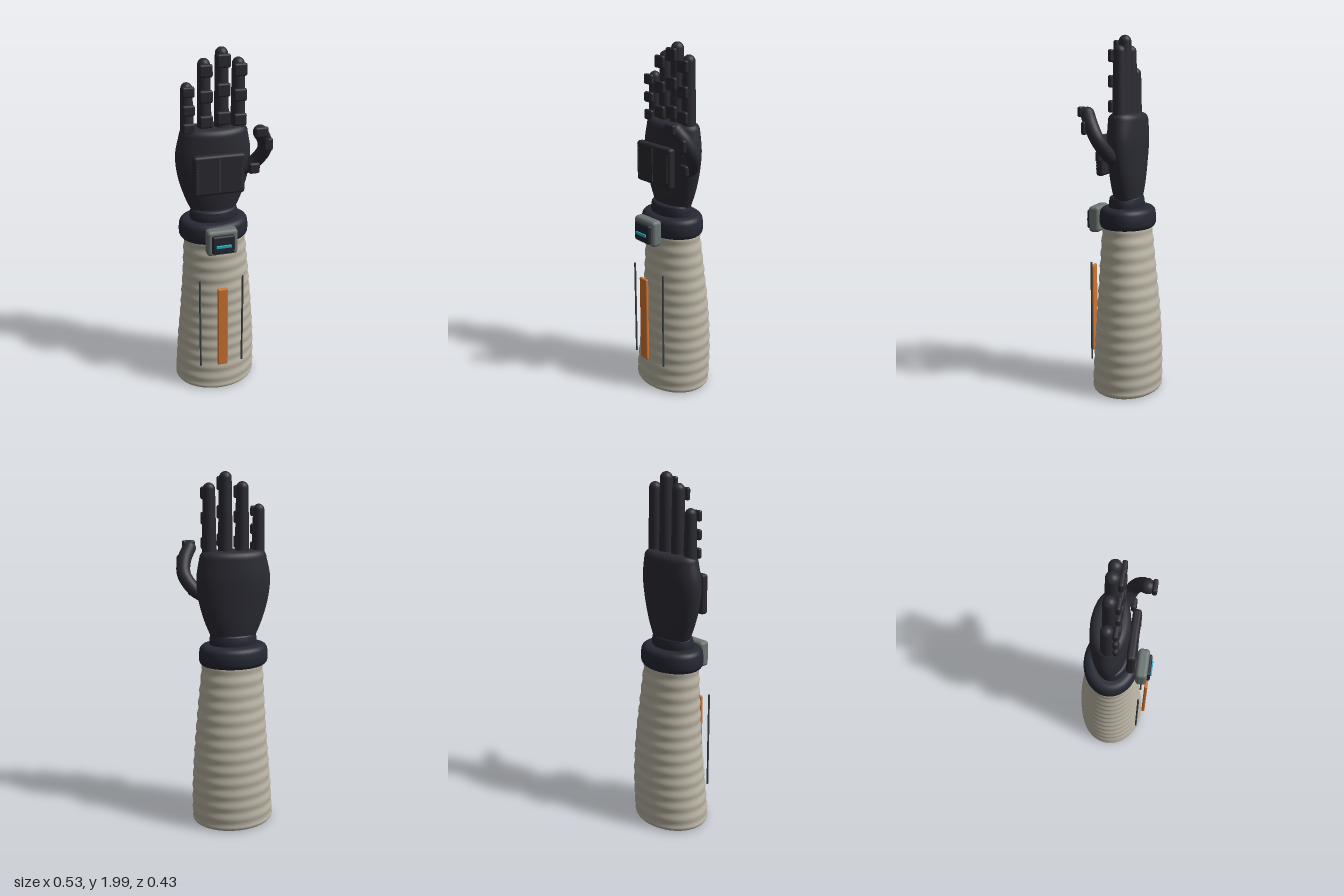
import * as THREE from 'three';
import { RoundedBoxGeometry } from 'three/addons/geometries/RoundedBoxGeometry.js';

const material = (name, color) => {
  const m = new THREE.MeshStandardMaterial({ color });
  m.name = name;
  return m;
};

// Elliptical loft through rings [y, xMin, xMax, zMin, zMax] with rounded, closed ends
function loft(keys, round, steps = 24, ripple = () => 0, segments = 56) {
  const sample = (col, t) => {
    const f = t * (keys.length - 1), i = Math.min(Math.floor(f), keys.length - 2), u = f - i;
    const p = (k) => keys[Math.max(0, Math.min(keys.length - 1, k))][col];
    const m0 = (p(i + 1) - p(i - 1)) / 2, m1 = (p(i + 2) - p(i)) / 2;
    const a = p(i), b = p(i + 1);
    return a + m0 * u + (3 * (b - a) - 2 * m0 - m1) * u * u + (2 * (a - b) + m0 + m1) * u * u * u;
  };
  const ringAt = (t) => {
    const [y, x0, x1, z0, z1] = [0, 1, 2, 3, 4].map((c) => sample(c, t));
    const r = ripple(y);
    return [y, (x0 + x1) / 2, (z0 + z1) / 2, (x1 - x0) / 2 + r, (z1 - z0) / 2 + r];
  };
  const rings = [];
  const edge = (end, dir, k) => {
    const a = k * Math.PI / 12, inset = round * (1 - Math.cos(a));
    return [end[0] + dir * round * Math.sin(a), end[1], end[2], end[3] - inset, end[4] - inset];
  };
  const shrink = (r, s) => [r[0], r[1], r[2], r[3] * s, r[4] * s];
  const first = ringAt(0), last = ringAt(1);
  rings.push(shrink(edge(first, -1, 6), 0), shrink(edge(first, -1, 6), 0.97));
  for (let k = 6; k > 0; k--) rings.push(edge(first, -1, k));
  for (let i = 0; i <= steps; i++) rings.push(ringAt(i / steps));
  for (let k = 1; k <= 6; k++) rings.push(edge(last, 1, k));
  rings.push(shrink(edge(last, 1, 6), 0.97), shrink(edge(last, 1, 6), 0));

  const pos = [], index = [];
  rings.forEach(([y, cx, cz, rx, rz], j) => {
    for (let i = 0; i < segments; i++) {
      const a = i / segments * Math.PI * 2;
      pos.push(cx + rx * Math.cos(a), y, cz + rz * Math.sin(a));
      if (j === rings.length - 1) continue;
      const p = j * segments + i, q = j * segments + (i + 1) % segments;
      index.push(p, p + segments, q, q, p + segments, q + segments);
    }
  });
  const g = new THREE.BufferGeometry();
  g.setAttribute('position', new THREE.Float32BufferAttribute(pos, 3));
  g.setIndex(index);
  g.computeVertexNormals();
  return g;
}

export function createModel() {
  const model = new THREE.Group();
  model.name = 'gloveArm';
  const fabric = material('sleeve fabric', 0xbab4a4);
  const glove = material('glove charcoal', 0x2b2b34);
  const cuff = material('cuff navy', 0x262833);
  const rubber = material('pad rubber', 0x292930);
  const metal = material('grey casing', 0x6c7573);
  const seam = material('seam grey', 0x3f4648);
  const orange = material('orange stripe', 0xd27430);
  const cyan = material('cyan light', 0x1fafc4);

  const add = (name, geometry, mat, x = 0, y = 0, z = 0, parent = model) => {
    const mesh = new THREE.Mesh(geometry, mat);
    mesh.name = name;
    mesh.position.set(x, y, z);
    parent.add(mesh);
    return mesh;
  };
  const box = (name, mat, w, h, d, r, x, y, z, parent) =>
    add(name, new RoundedBoxGeometry(w, h, d, 3, r), mat, x, y, z, parent);
  const rod = (name, mat, r, y0, y1, x, z) =>
    add(name, new THREE.CylinderGeometry(r, r, y1 - y0, 10), mat, x, (y0 + y1) / 2, z);

  // Gently ribbed sleeve
  add('sleeve', loft([
    [0.035, -0.266, 0.206, -0.215, 0.178],
    [0.26, -0.248, 0.206, -0.216, 0.163],
    [0.49, -0.226, 0.192, -0.203, 0.147],
    [0.72, -0.211, 0.17, -0.178, 0.133],
    [0.95, -0.2, 0.146, -0.152, 0.12],
  ], 0.025, 130, (y) => 0.0025 * Math.sin(y * Math.PI * 2 / 0.072)), fabric);

  // Cuff, wrist and palm
  add('cuff', loft([
    [0.985, -0.227, 0.161, -0.171, 0.137],
    [1.01, -0.228, 0.162, -0.172, 0.138],
    [1.035, -0.225, 0.159, -0.169, 0.135],
  ], 0.035, 6), cuff);
  add('wrist', loft([
    [1.05, -0.165, 0.1, -0.105, 0.083],
    [1.09, -0.167, 0.102, -0.107, 0.085],
    [1.115, -0.163, 0.098, -0.103, 0.081],
  ], 0.015, 6), cuff);
  add('palm', loft([
    [1.1, -0.15, 0.088, -0.092, 0.05],
    [1.2, -0.193, 0.13, -0.106, 0.066],
    [1.32, -0.228, 0.163, -0.114, 0.077],
    [1.44, -0.238, 0.174, -0.121, 0.082],
    [1.55, -0.215, 0.157, -0.119, 0.078],
  ], 0.038, 40), glove);

  // Palm plate with its seams
  box('palmPlate', rubber, 0.278, 0.222, 0.045, 0.016, -0.032, 1.36, 0.1);
  rod('plateSeam', seam, 0.003, 1.265, 1.455, -0.033, 0.1225);
  for (const x of [-0.15, 0.088])
    for (let i = 0; i < 10; i++)
      rod('plateStitch', seam, 0.003, 1.283 + i * 0.016, 1.292 + i * 0.016, x, 0.1225);

  // Fingers: [x, tip height, radius], each with three grip pads
  const fingers = [[-0.172, 1.83, 0.037], [-0.08, 1.948, 0.04], [0.013, 2, 0.041], [0.102, 1.943, 0.04]];
  const names = ['littleFinger', 'ringFinger', 'middleFinger', 'indexFinger'];
  fingers.forEach(([x, tip, r], n) => {
    const finger = new THREE.Group();
    finger.name = names[n];
    finger.position.set(x, 0, -0.015);
    model.add(finger);
    const base = 1.52, tipR = r * 0.82, profile = [new THREE.Vector2(r, base)];
    for (let k = 0; k <= 8; k++) {
      const a = k / 8 * Math.PI / 2;
      profile.push(new THREE.Vector2(tipR * Math.cos(a), tip - tipR + tipR * Math.sin(a)));
    }
    add('fingerBody', new THREE.LatheGeometry(profile, 28), glove, 0, 0, 0, finger);
    const length = tip - base;
    for (const f of [0.25, 0.56, 0.87])
      box('gripPad', rubber, r * 1.78, 0.03 + length * 0.085, 0.026, 0.011, 0, base + f * length, 0.042, finger);
  });

  // Curved thumb with pads
  const thumb = new THREE.Group();
  thumb.name = 'thumb';
  model.add(thumb);
  const path = new THREE.CatmullRomCurve3([
    new THREE.Vector3(0.12, 1.34, 0.005),
    new THREE.Vector3(0.175, 1.375, 0.025),
    new THREE.Vector3(0.224, 1.455, 0.065),
    new THREE.Vector3(0.212, 1.53, 0.105),
    new THREE.Vector3(0.178, 1.587, 0.138),
  ]);
  add('thumbBody', new THREE.TubeGeometry(path, 40, 0.038, 24), glove, 0, 0, 0, thumb);
  for (const t of [0, 1]) {
    const p = path.getPoint(t);
    add('thumbEnd', new THREE.SphereGeometry(0.038, 24, 16), glove, p.x, p.y, p.z, thumb);
  }
  box('thumbTipPad', rubber, 0.072, 0.055, 0.026, 0.011, 0.173, 1.598, 0.173, thumb);
  box('thumbMiddlePad', rubber, 0.05, 0.07, 0.026, 0.011, 0.223, 1.515, 0.137, thumb);
  box('thumbBasePad', rubber, 0.06, 0.06, 0.03, 0.012, 0.17, 1.365, 0.075, thumb);

  // Wrist display
  box('displayCasing', metal, 0.172, 0.148, 0.064, 0.02, -0.033, 0.995, 0.158);
  box('displayScreen', cuff, 0.126, 0.106, 0.03, 0.012, -0.032, 0.992, 0.192);
  box('displayLight', cyan, 0.084, 0.017, 0.009, 0.003, -0.032, 0.985, 0.21);

  // Sleeve trim standing off the front
  box('frontStripe', orange, 0.06, 0.51, 0.02, 0.007, -0.034, 0.46, 0.191);
  for (const x of [-0.156, 0.091]) rod('sleevePiping', seam, 0.0055, 0.19, 0.76, x, 0.157);

  return model;
}
